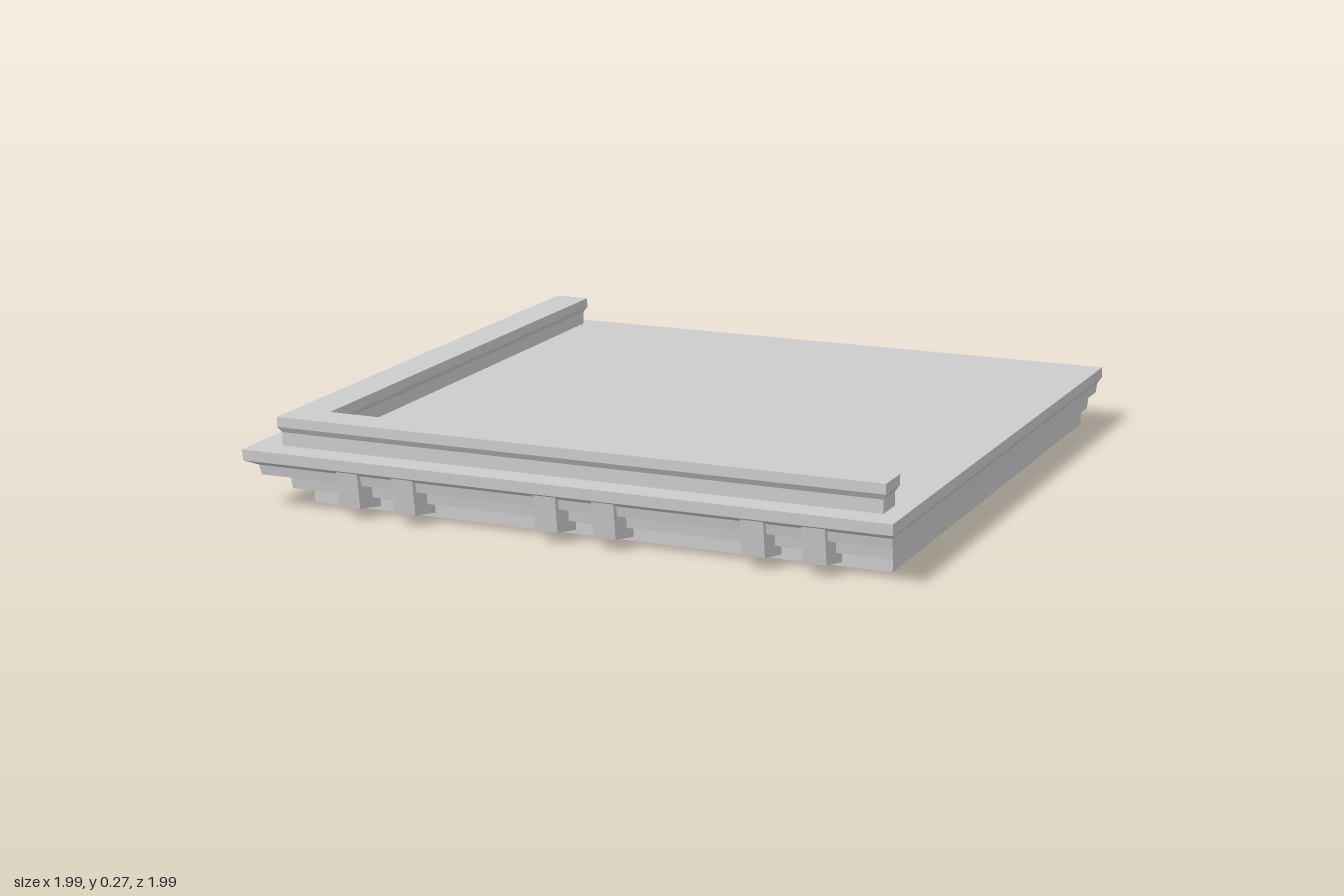
import * as THREE from 'three';

const material = new THREE.MeshStandardMaterial({ color: 0xcccccc, flatShading: true });

// Solid from stacked outlines: each ring is { y, points: [[x, z], ...] }, same point count
function loft(rings) {
  const pos = [];
  const put = (ring, i) => pos.push(ring.points[i][0], ring.y, ring.points[i][1]);
  const n = rings[0].points.length;
  for (let k = 0; k < rings.length - 1; k++) {
    const a = rings[k], b = rings[k + 1];
    for (let i = 0; i < n; i++) {
      const j = (i + 1) % n;
      put(a, i); put(a, j); put(b, j);
      put(a, i); put(b, j); put(b, i);
    }
  }
  // Caps; outlines run from -x+z to +x+z to +x-z
  const cap = (ring, up) => {
    const flat = ring.points.map(([x, z]) => new THREE.Vector2(x, -z));
    for (const [a, b, c] of THREE.ShapeUtils.triangulateShape(flat, [])) {
      put(ring, a); put(ring, up ? b : c); put(ring, up ? c : b);
    }
  };
  cap(rings[0], false);
  cap(rings[rings.length - 1], true);
  const geo = new THREE.BufferGeometry();
  geo.setAttribute('position', new THREE.Float32BufferAttribute(pos, 3));
  geo.computeVertexNormals();
  return geo;
}

function addMesh(parent, name, geo) {
  const mesh = new THREE.Mesh(geo, material);
  mesh.name = name;
  parent.add(mesh);
  return mesh;
}

export function createModel() {
  const model = new THREE.Group();
  model.name = 'roofCornice';

  // Stepped slab: [height, reach to front and -x, reach to back and +x]
  const steps = [
    [0, 0.847, 0.942], [0.037, 0.847, 0.942],
    [0.05, 0.893, 0.957], [0.083, 0.897, 0.96],
    [0.1, 0.957, 0.979], [0.13, 0.963, 0.982],
    [0.147, 0.995, 0.993], [0.18, 0.997, 0.993],
  ];
  addMesh(model, 'steppedSlab', loft(steps.map(([y, near, far]) => ({
    y, points: [[-near, near], [far, near], [far, -far], [-near, -far]],
  }))));

  // L-shaped parapet with an overhanging cap
  const lOutline = (g) => {
    const out = 0.912 + g, inn = 0.82 - g, end = 0.936 + g;
    return [[-out, out], [end, out], [end, inn], [-inn, inn], [-inn, -end], [-out, -end]];
  };
  addMesh(model, 'parapet', loft([[0.18, 0], [0.22, 0], [0.237, 0.01], [0.267, 0.01]]
    .map(([y, g]) => ({ y, points: lOutline(g) }))));

  // Paired brackets under the cornice, on the front and the -x side
  const width = 0.068;
  const profile = new THREE.Shape([
    [0.82, 0.012], [0.847, 0.012], [0.967, 0.035], [0.983, 0.147], [0.82, 0.147],
  ].map(([x, y]) => new THREE.Vector2(x, y)));
  const bracketGeo = new THREE.ExtrudeGeometry(profile, { depth: width, bevelEnabled: false });
  bracketGeo.translate(0, 0, -width / 2).rotateY(-Math.PI / 2);

  for (const [name, sign, turn] of [['frontBrackets', 1, 0], ['sideBrackets', -1, -Math.PI / 2]]) {
    const row = new THREE.Group();
    row.name = name;
    row.rotation.y = turn;
    for (const pair of [-0.574, 0.051, 0.673]) {
      for (const offset of [-0.089, 0.089]) {
        addMesh(row, 'bracket', bracketGeo).position.x = sign * (pair + offset);
      }
    }
    model.add(row);
  }
  return model;
}
